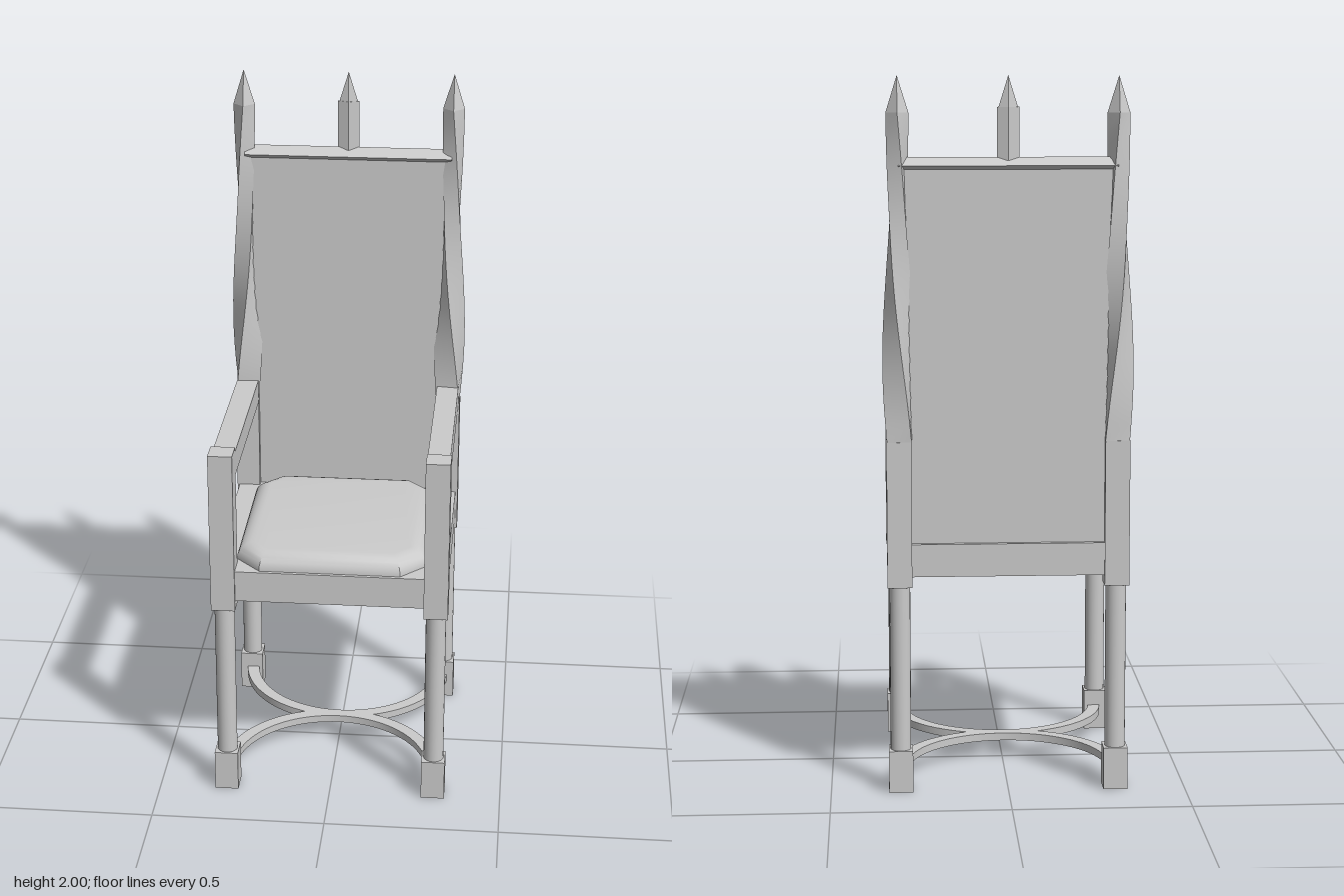
import * as THREE from 'three';
import { toCreasedNormals } from 'three/addons/utils/BufferGeometryUtils.js';

const material = new THREE.MeshStandardMaterial({ color: 0xcccccc });
const P = 0.303; // leg centre in x and z

export function createModel() {
  const chair = new THREE.Group();

  const add = (name, geometry, x = 0, y = 0, z = 0) => {
    const mesh = new THREE.Mesh(geometry, material);
    mesh.name = name;
    mesh.position.set(x, y, z);
    chair.add(mesh);
    return mesh;
  };
  // Box given by its bottom and top heights
  const box = (name, w, d, y0, y1, x, z) =>
    add(name, new THREE.BoxGeometry(w, y1 - y0, d), x, (y0 + y1) / 2, z);

  // Legs: square foot, round shaft and square upper post
  for (const side of [-1, 1]) {
    for (const end of [-1, 1]) {
      const x = side * P, z = end > 0 ? P : -0.3;
      const label = end > 0 ? 'front' : 'back';
      box(label + 'Foot', 0.068, 0.068, 0, 0.12, x, z);
      const shaft = new THREE.CylinderGeometry(0.029, 0.029, 0.49, 20);
      add(label + 'LegShaft', shaft, x, 0.355, z);
      box(label + 'Post', 0.069, 0.069, 0.59, end > 0 ? 1.07 : 1.0, x, z);
    }
    box('armrest', 0.064, 0.56, 0.985, 1.055, side * 0.301, 0);
    add('twistedPost', twistedPost(side), side * 0.302, 0, -0.3);
    add('postPoint', facetedPoint(0.031, 0.031), side * 0.302, 1.95, -0.3);
  }

  // Seat frame
  box('seatFrame', 0.662, 0.66, 0.62, 0.712, 0, 0);

  // Cushion: chamfered outline with a rounded upper edge
  const outline = [[-0.2, -0.32], [0.2, -0.32], [0.272, -0.245], [0.272, -0.195],
    [0.272, 0.195], [0.2, 0.27], [-0.2, 0.27], [-0.272, 0.195], [-0.272, -0.245]];
  const cushion = new THREE.ExtrudeGeometry(
    new THREE.Shape(outline.map(([x, y]) => new THREE.Vector2(x, y))), {
      depth: 0.02, bevelEnabled: true, bevelThickness: 0.045,
      bevelSize: 0.05, bevelOffset: -0.05, bevelSegments: 6,
    });
  cushion.rotateX(-Math.PI / 2);
  add('seatCushion', toCreasedNormals(cushion, 0.6), 0, 0.695, 0);

  // Back panel, diamond-section top rail and middle finial
  box('backPanel', 0.6, 0.03, 0.65, 1.75, 0, -0.3);
  const rail = new THREE.CylinderGeometry(1, 1, 0.6, 4).toNonIndexed();
  rail.rotateZ(Math.PI / 2);
  rail.scale(1, 0.023, 0.029);
  rail.computeVertexNormals();
  add('topRail', rail, 0, 1.757, -0.299);
  const stem = new THREE.CylinderGeometry(1, 1, 0.17, 4).toNonIndexed();
  stem.scale(0.031, 1, 0.012);
  stem.computeVertexNormals();
  add('finialStem', stem, 0, 1.83, -0.3);
  add('finialPoint', facetedPoint(0.031, 0.012), 0, 1.95, -0.3);

  // Stretchers: two half rings that meet under the middle of the seat
  for (const end of [-1, 1]) {
    const ring = new THREE.Shape();
    ring.absarc(0, 0, 0.318, 0, Math.PI, false);
    ring.absarc(0, 0, 0.282, Math.PI, 0, true);
    const geometry = new THREE.ExtrudeGeometry(ring, {
      depth: 0.022, bevelEnabled: false, curveSegments: 24,
    });
    geometry.rotateX(-Math.PI / 2);
    if (end < 0) geometry.rotateY(Math.PI);
    add('curvedStretcher', toCreasedNormals(geometry, 0.6), 0, 0.053, end * 0.3);
  }
  return chair;
}

// Four-sided point, 0.1 tall
function facetedPoint(rx, rz) {
  const geometry = new THREE.ConeGeometry(1, 0.1, 4).toNonIndexed();
  geometry.scale(rx, 1, rz);
  geometry.computeVertexNormals();
  return geometry;
}

// Square post that tapers while it turns, mirrored by side
function twistedPost(side) {
  const y0 = 1.0, y1 = 1.9, steps = 18;
  const geometry = new THREE.CylinderGeometry(1, 1, y1 - y0, 4, steps, false);
  const pos = geometry.attributes.position;
  for (let i = 0; i < pos.count; i++) {
    const y = pos.getY(i) + (y0 + y1) / 2;
    const t = (y - y0) / (y1 - y0);
    const radius = THREE.MathUtils.lerp(0.048, 0.031, THREE.MathUtils.smoothstep(t, 0.1, 0.75));
    const spread = Math.hypot(pos.getX(i), pos.getZ(i)) * radius;
    const angle = Math.atan2(pos.getZ(i), pos.getX(i)) + Math.PI / 4 + side * t * Math.PI * 0.75;
    pos.setXYZ(i, spread * Math.cos(angle), y, spread * Math.sin(angle));
  }
  return toCreasedNormals(geometry, 0.6);
}
